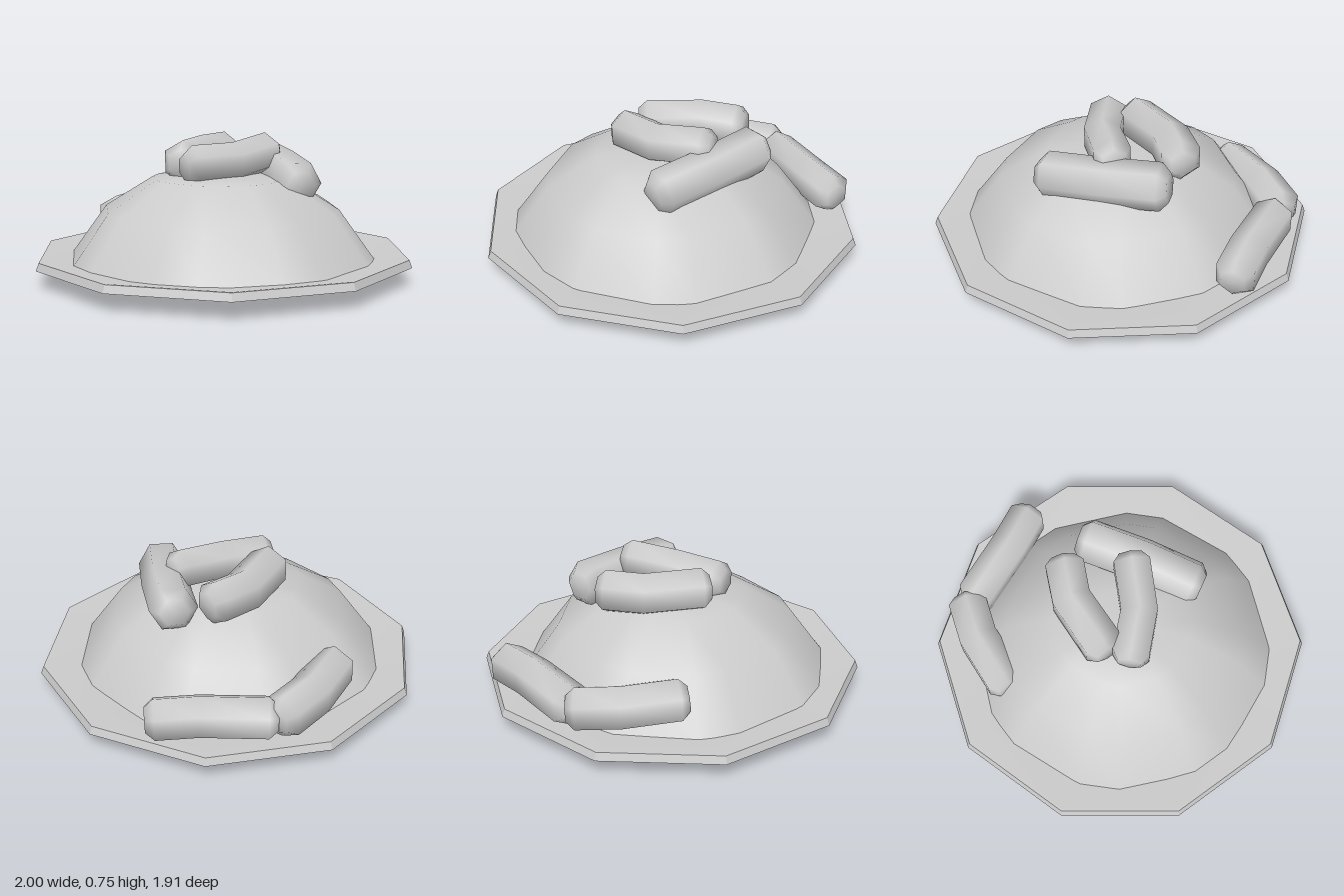
import * as THREE from 'three';
import { mergeVertices, toCreasedNormals } from 'three/addons/utils/BufferGeometryUtils.js';

const material = new THREE.MeshStandardMaterial({ color: 0xcccccc });
const profile = (pairs) => pairs.map(([r, y]) => new THREE.Vector2(r, y));

function addMesh(parent, name, geometry) {
  const mesh = new THREE.Mesh(geometry, material);
  mesh.name = name;
  parent.add(mesh);
  return mesh;
}

// Ten-sided shallow plate with a bevelled rim
function plateGeometry() {
  const points = profile([
    [0, 0], [0.5, 0], [1, 0.09], [0.985, 0.13], [0.97, 0.13], [0.8, 0.11], [0.5, 0.1], [0, 0.1],
  ]);
  return toCreasedNormals(new THREE.LatheGeometry(points, 10, Math.PI / 10), 0.5);
}

// Smooth dome whose sixteen sides alternate between short and long
function moundGeometry() {
  const points = profile([[0.822, 0.085], [0.787, 0.13], [0.617, 0.365], [0.36, 0.525], [0.16, 0.543], [0, 0.545]]);
  const geometry = new THREE.LatheGeometry(points, 16, Math.PI / 16);
  const pos = geometry.attributes.position;
  const quarter = Math.PI / 4;
  for (let i = 0; i < pos.count; i++) {
    const x = pos.getX(i), z = pos.getZ(i);
    const radius = Math.hypot(x, z);
    const angle = Math.atan2(x, z);
    const centre = Math.round(angle / quarter) * quarter;
    const moved = centre + (angle - centre) * (7.5 / 11.25);
    pos.setXYZ(i, radius * Math.sin(moved), pos.getY(i), radius * Math.cos(moved));
  }
  geometry.deleteAttribute('normal');
  geometry.deleteAttribute('uv');
  const merged = mergeVertices(geometry);
  merged.computeVertexNormals();
  return merged;
}

// Bent six-sided sausage through three points, with tapered blunt ends
function sausageGeometry(path, radius, roll) {
  const sides = 6;
  const [a, m, b] = path.map((p) => new THREE.Vector3(...p));
  const dirA = m.clone().sub(a).normalize();
  const dirB = b.clone().sub(m).normalize();
  const dirM = dirA.clone().add(dirB).normalize();
  const taper = 0.045;
  const rings = [
    [a, dirA, 0.62],
    [a.clone().addScaledVector(dirA, taper), dirA, 1],
    [m, dirM, 1],
    [b.clone().addScaledVector(dirB, -taper), dirB, 1],
    [b, dirB, 0.62],
  ];
  const vertices = [];
  const index = [];
  for (const [centre, dir, scale] of rings) {
    const side = new THREE.Vector3(0, 1, 0).cross(dir).normalize();
    const up = dir.clone().cross(side);
    for (let j = 0; j < sides; j++) {
      const t = roll + (j / sides) * Math.PI * 2;
      const p = centre.clone()
        .addScaledVector(side, Math.sin(t) * radius * scale)
        .addScaledVector(up, Math.cos(t) * radius * scale);
      vertices.push(p.x, p.y, p.z);
    }
  }
  const startCap = rings.length * sides;
  const endCap = startCap + 1;
  const last = startCap - sides;
  vertices.push(a.x, a.y, a.z, b.x, b.y, b.z);
  for (let j = 0; j < sides; j++) {
    const k = (j + 1) % sides;
    for (let i = 0; i < rings.length - 1; i++) {
      const r = i * sides, s = r + sides;
      index.push(r + j, s + j, r + k, r + k, s + j, s + k);
    }
    index.push(startCap, j, k, endCap, last + k, last + j);
  }
  // Wind every face outward
  for (let i = 0; i < index.length; i += 3) {
    [index[i + 1], index[i + 2]] = [index[i + 2], index[i + 1]];
  }
  const geometry = new THREE.BufferGeometry();
  geometry.setAttribute('position', new THREE.Float32BufferAttribute(vertices, 3));
  geometry.setIndex(index);
  // Check the sign of the enclosed volume and flip if needed
  const v = [0, 1, 2].map(() => new THREE.Vector3());
  let volume = 0;
  for (let i = 0; i < index.length; i += 3) {
    v.forEach((p, n) => p.fromArray(vertices, index[i + n] * 3).sub(m));
    volume += v[0].dot(v[1].clone().cross(v[2]));
  }
  if (volume < 0) geometry.setIndex(index.slice().reverse());
  geometry.computeVertexNormals();
  return geometry;
}

export function createModel() {
  const model = new THREE.Group();
  model.name = 'plateOfSausagesAndMash';

  addMesh(model, 'plate', plateGeometry()).position.z = 0.007;
  addMesh(model, 'mashMound', moundGeometry()).position.z = 0.035;

  // Name, path, radius and roll of each sausage
  const sausages = [
    ['backSausage', [[0.035, 0.22, -0.885], [-0.195, 0.23, -0.765], [-0.545, 0.225, -0.615]], 0.113, 0],
    ['sideSausage', [[-0.65, 0.26, -0.085], [-0.63, 0.25, -0.41], [-0.55, 0.235, -0.66]], 0.117, 0],
    ['topLeftSausage', [[-0.185, 0.605, 0.16], [-0.17, 0.605, -0.18], [-0.07, 0.61, -0.395]], 0.115, 0],
    ['topFrontSausage', [[-0.13, 0.6, 0.265], [0.075, 0.605, 0.07], [0.215, 0.645, -0.2]], 0.108, 0],
    ['topRightSausage', [[0.445, 0.505, 0.12], [0.275, 0.54, -0.17], [0.075, 0.57, -0.46]], 0.123, Math.PI / 6],
  ];
  const group = new THREE.Group();
  group.name = 'sausages';
  for (const [name, path, radius, roll] of sausages) {
    addMesh(group, name, sausageGeometry(path, radius, roll));
  }
  model.add(group);
  return model;
}
